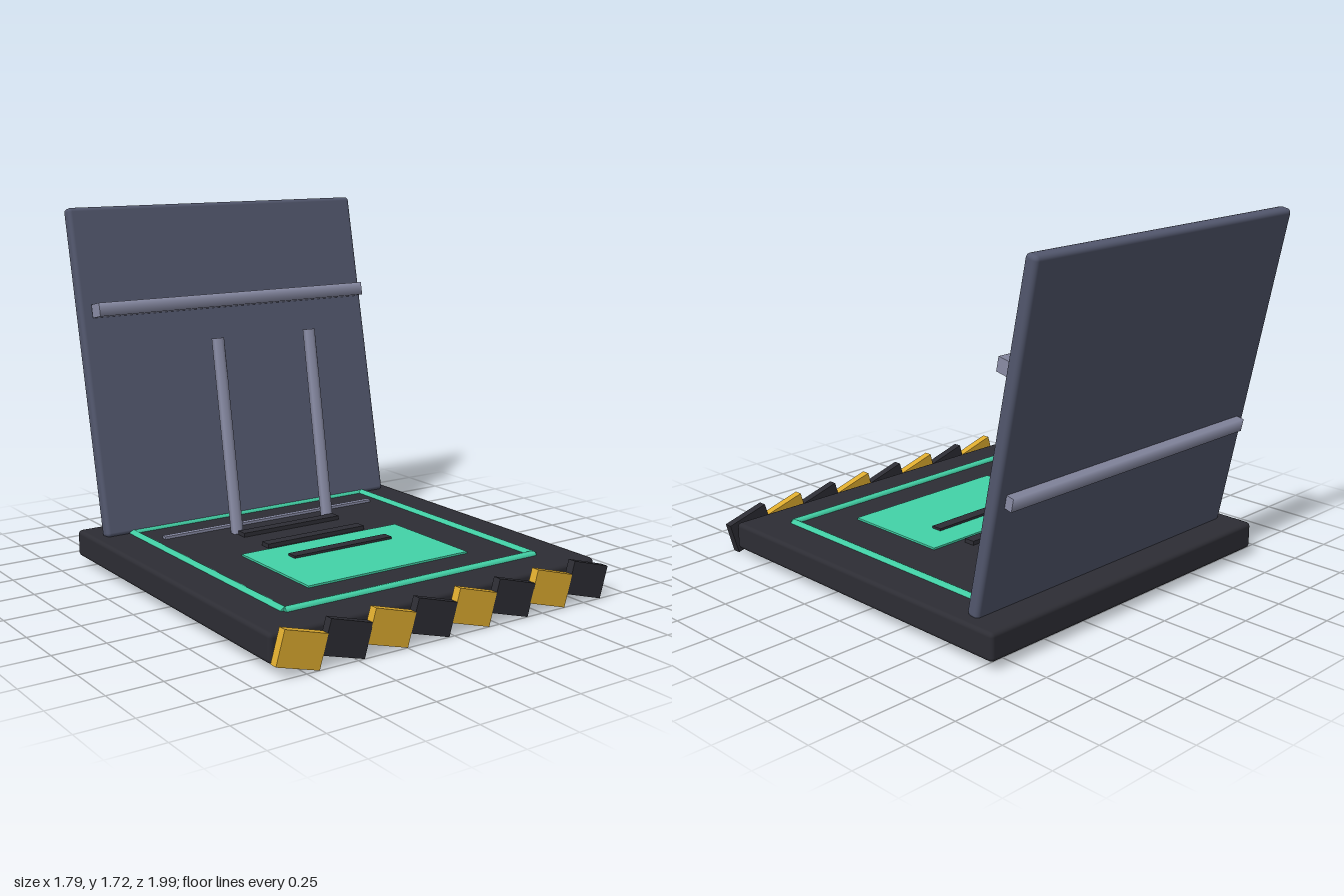
import * as THREE from 'three';
import { RoundedBoxGeometry } from 'three/addons/geometries/RoundedBoxGeometry.js';

const material = (name, color) => {
  const m = new THREE.MeshStandardMaterial({ color });
  m.name = name;
  return m;
};

export function createModel() {
  const model = new THREE.Group();
  model.name = 'platform';

  const charcoal = material('charcoal', 0x2d2d34);
  const slate = material('slate', 0x52576d);
  const steel = material('steel', 0x898ca5);
  const mint = material('mint', 0x43d3a8);
  const gold = material('gold', 0xdfac2f);

  const add = (name, geometry, mat, x, y, z, parent = model) => {
    const mesh = new THREE.Mesh(geometry, mat);
    mesh.name = name;
    mesh.position.set(x, y, z);
    parent.add(mesh);
    return mesh;
  };
  const box = (w, h, d) => new THREE.BoxGeometry(w, h, d);

  // Bar along x with a smooth-shaded rectangular section
  const bar = (length, h, d) => new THREE.CylinderGeometry(Math.SQRT1_2, Math.SQRT1_2, length, 4, 1)
    .rotateY(Math.PI / 4).rotateZ(Math.PI / 2).scale(1, h, d);

  // Base slab
  add('base', new RoundedBoxGeometry(1.76, 0.13, 1.75, 2, 0.02), charcoal, 0, 0.105, 0.055);

  // Back panel leaning backwards, with a rail on each face
  const back = new THREE.Group();
  back.name = 'backAssembly';
  back.position.set(0, 0.94, -0.803);
  back.rotation.x = -0.208;
  model.add(back);
  add('backPanel', new RoundedBoxGeometry(1.64, 1.59, 0.065, 2, 0.02), slate, 0, 0, 0, back);
  add('frontRail', bar(1.53, 0.065, 0.085), steel, 0, 0.292, 0.085, back);
  add('rearRail', bar(1.53, 0.06, 0.08), steel, 0, -0.245, -0.031, back);

  // Pair of slanted uprights
  for (const side of [-1, 1]) {
    const post = add(side > 0 ? 'leftPost' : 'rightPost',
      new THREE.CylinderGeometry(0.03, 0.03, 0.95, 6), steel, side * 0.263, 0.635, -0.415);
    post.rotation.x = -0.17;
  }

  // Thin floor rail and slots
  add('floorRail', box(1.21, 0.02, 0.027), steel, 0, 0.173, -0.443);
  for (const z of [-0.275, -0.06, 0.165]) {
    add('slot', box(0.55, 0.025, 0.055), charcoal, 0, 0.1775, z);
  }

  // Glowing pad and border
  add('pad', box(0.88, 0.009, 0.55), mint, 0, 0.1745, 0.275);
  const strip = (length) => new THREE.CylinderGeometry(0.022, 0.022, length, 6);
  for (const side of [-1, 1]) {
    add('sideBorder', strip(1.36).rotateX(Math.PI / 2), mint, side * 0.68, 0.166, 0.055);
  }
  for (const z of [-0.622, 0.735]) {
    add('crossBorder', strip(1.37).rotateZ(Math.PI / 2), mint, 0, 0.166, z);
  }

  // Alternating slanted hazard blocks along the front
  for (let i = 0; i < 8; i++) {
    const block = add('hazardBlock', box(0.214, 0.152, 0.04), i % 2 ? charcoal : gold,
      -0.77 + i * 0.22, 0.103, 0.98);
    block.rotation.z = -0.28;
  }

  return model;
}
